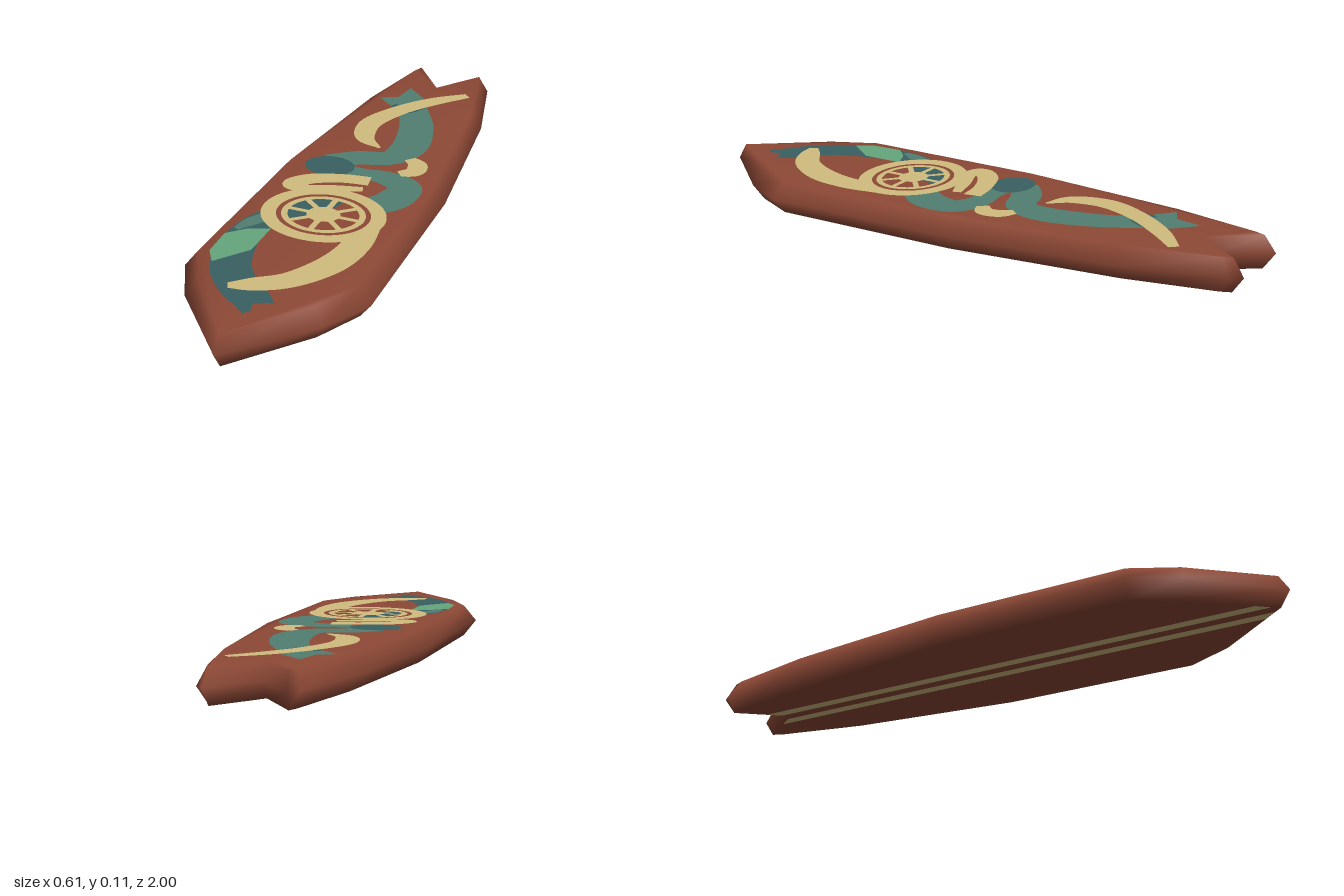
import * as THREE from 'three';

const mat = (name, color) => {
  const m = new THREE.MeshStandardMaterial({ color });
  m.name = name;
  return m;
};

const H = 0.107; // board thickness

// Half outlines (x, z) from nose to tail notch: widest rail line and flat deck edge
const RAIL = [[0, 1], [0.222, 0.75], [0.303, 0.595], [0.295, -0.07], [0.227, -0.65], [0.148, -0.965], [0.12, -1], [0, -0.84]];
const DECK = [[0, 0.967], [0.19, 0.73], [0.262, 0.58], [0.255, -0.07], [0.19, -0.64], [0.128, -0.93], [0.114, -0.963], [0, -0.81]];
const mirror = (half) => [...half, ...half.slice(1, -1).reverse().map(([x, z]) => [-x, z])];

// Closed hull: bottom edge, rail and deck edge loops plus two flat caps
function hullGeometry() {
  const loops = [[DECK, 0], [RAIL, H / 2], [DECK, H]];
  const n = mirror(RAIL).length;
  const pos = [], index = [];
  for (const [half, y] of loops) for (const [x, z] of mirror(half)) pos.push(x, y, z);
  for (let r = 0; r < 2; r++) {
    for (let i = 0; i < n; i++) {
      const j = (i + 1) % n;
      const a = r * n + i, b = r * n + j, c = b + n, d = a + n;
      index.push(a, b, c, a, c, d);
    }
  }
  const flat = mirror(DECK).map(([x, z]) => new THREE.Vector2(x, -z));
  for (const [a, b, c] of THREE.ShapeUtils.triangulateShape(flat, [])) {
    index.push(a + 2 * n, b + 2 * n, c + 2 * n, a, c, b);
  }
  const g = new THREE.BufferGeometry();
  g.setAttribute('position', new THREE.Float32BufferAttribute(pos, 3));
  g.setIndex(index);
  g.computeVertexNormals();
  return g;
}

// Flat ribbon along a curve through [x, z, width] points, facing up
function ribbonGeometry(points, steps = 40) {
  const curve = new THREE.CatmullRomCurve3(points.map((p) => new THREE.Vector3(...p)));
  const pos = [], nor = [], index = [];
  for (let i = 0; i <= steps; i++) {
    const p = curve.getPoint(i / steps), t = curve.getTangent(i / steps);
    const k = Math.max(p.z, 0.004) / 2 / Math.hypot(t.x, t.y);
    pos.push(p.x - t.y * k, 0, p.y + t.x * k, p.x + t.y * k, 0, p.y - t.x * k);
    nor.push(0, 1, 0, 0, 1, 0);
    if (i < steps) {
      const a = 2 * i;
      index.push(a, a + 1, a + 2, a + 1, a + 3, a + 2);
    }
  }
  const g = new THREE.BufferGeometry();
  g.setAttribute('position', new THREE.Float32BufferAttribute(pos, 3));
  g.setAttribute('normal', new THREE.Float32BufferAttribute(nor, 3));
  g.setIndex(index);
  return g;
}

// Flat polygon from [x, z] points, facing up
const polyGeometry = (pts) =>
  new THREE.ShapeGeometry(new THREE.Shape(pts.map(([x, z]) => new THREE.Vector2(x, -z)))).rotateX(-Math.PI / 2);

export function createModel() {
  const brick = mat('brick red', 0x8e4936);
  const cream = mat('cream', 0xd0bc7e);
  const teal = mat('teal', 0x527f72);
  const deep = mat('deep teal', 0x396063);
  const green = mat('light green', 0x65a67b);
  for (const m of [cream, teal, deep, green]) m.side = THREE.DoubleSide;

  const board = new THREE.Group();
  board.name = 'surfboard';
  const add = (name, geometry, material, layer = 0, parent = board) => {
    const mesh = new THREE.Mesh(geometry, material);
    mesh.name = name;
    mesh.position.y = layer ? H + layer * 0.0007 : 0;
    parent.add(mesh);
    return mesh;
  };

  add('hull', hullGeometry(), brick);

  // Teal ribbon on the tail half, with its forked end and dark fold
  add('tailRibbon', ribbonGeometry([[-0.06, -0.66, 0.11], [0, -0.57, 0.11], [0.05, -0.46, 0.12], [0.08, -0.3, 0.125],
    [0.05, -0.21, 0.1], [-0.05, -0.17, 0.1], [-0.13, -0.11, 0.1]]), teal, 1);
  add('tailRibbonFork', polyGeometry([[-0.1, -0.6], [-0.16, -0.65], [-0.1, -0.68], [-0.085, -0.77], [-0.01, -0.7], [0.01, -0.64]]), teal, 1);
  add('tailRibbonShade', ribbonGeometry([[-0.09, -0.61, 0.02], [-0.045, -0.58, 0.06], [0.01, -0.65, 0.05], [0.03, -0.68, 0.02]]), deep, 2);
  add('middleRibbon', ribbonGeometry([[-0.12, -0.08, 0.08], [0, -0.07, 0.07], [0.09, -0.07, 0.09], [0.17, -0.03, 0.11],
    [0.165, 0.06, 0.125], [0.11, 0.14, 0.11]]), teal, 1);
  const fold = new THREE.CircleGeometry(1, 28).rotateX(-Math.PI / 2).scale(0.085, 1, 0.068);
  add('ribbonFold', fold.translate(-0.115, 0, -0.08), deep, 2);

  // Dark ribbon on the nose half, with a light green band and forked end
  add('noseRibbon', ribbonGeometry([[-0.12, 0.25, 0.09], [-0.17, 0.36, 0.1], [-0.17, 0.5, 0.12], [-0.13, 0.63, 0.125],
    [-0.06, 0.72, 0.12], [-0.01, 0.765, 0.11]]), deep, 1);
  add('noseRibbonFork', polyGeometry([[-0.06, 0.79], [0.015, 0.85], [0.03, 0.825], [0.02, 0.79], [0.075, 0.765], [0.02, 0.7]]), deep, 1);
  add('noseRibbonBand', polyGeometry([[-0.235, 0.46], [-0.185, 0.41], [-0.115, 0.38], [-0.115, 0.52], [-0.195, 0.625], [-0.23, 0.57]]), green, 2);
  add('noseRibbonEdge', ribbonGeometry([[-0.15, 0.3, 0.05], [-0.19, 0.36, 0.05], [-0.215, 0.42, 0.02]]), teal, 2);

  // Cream horns and curls
  add('tailHorn', ribbonGeometry([[0.13, -0.78, 0.035], [0.035, -0.69, 0.06], [-0.055, -0.57, 0.07], [-0.11, -0.43, 0.08],
    [-0.085, -0.32, 0.065], [-0.01, -0.265, 0.01]]), cream, 3);
  add('sideCurl', ribbonGeometry([[0.115, -0.225, 0.04], [0.155, -0.19, 0.065], [0.16, -0.145, 0.065], [0.12, -0.11, 0.04]]), cream, 3);
  add('middleCurl', ribbonGeometry([[0.05, -0.025, 0.06], [-0.04, -0.01, 0.06], [-0.14, 0.035, 0.07], [-0.175, 0.085, 0.07],
    [-0.13, 0.1, 0.055], [-0.04, 0.065, 0.045], [0.05, 0.035, 0.03]]), cream, 3);
  add('noseHorn', ribbonGeometry([[0.15, 0.24, 0.09], [0.165, 0.38, 0.095], [0.14, 0.51, 0.1], [0.06, 0.64, 0.085],
    [-0.03, 0.7, 0.07], [-0.09, 0.73, 0.03]]), cream, 3);

  // Wheel emblem: brick face, dark half, rings, hub and spokes
  const wheel = new THREE.Group();
  wheel.name = 'wheelEmblem';
  wheel.position.set(0, 0, 0.24);
  wheel.scale.z = 0.85;
  board.add(wheel);
  const flat = (g) => g.rotateX(-Math.PI / 2);
  add('wheelFace', flat(new THREE.CircleGeometry(0.18, 40)), brick, 4, wheel);
  add('wheelDarkHalf', flat(new THREE.CircleGeometry(0.13, 24, Math.PI * 0.42, Math.PI * 0.85)), deep, 5, wheel);
  add('wheelOuterRing', flat(new THREE.RingGeometry(0.152, 0.202, 48)), cream, 6, wheel);
  add('wheelInnerRing', flat(new THREE.RingGeometry(0.115, 0.136, 40)), cream, 6, wheel);
  add('wheelHub', flat(new THREE.CircleGeometry(0.055, 24)), cream, 6, wheel);
  for (let i = 0; i < 8; i++) {
    const spoke = flat(new THREE.PlaneGeometry(0.075, 0.02)).translate(0.085, 0, 0);
    add('wheelSpoke', spoke.rotateY((i * Math.PI) / 4), cream, 6, wheel);
  }

  // Twin stripes under the board, trimmed to the nose and notch
  for (const s of [-1, 1]) {
    const stripe = polyGeometry([[s * 0.017, 0.943], [s * 0.049, 0.902], [s * 0.049, -0.872], [s * 0.017, -0.83]]);
    if (s > 0) stripe.scale(1, 1, 1);
    stripe.rotateZ(Math.PI).translate(0, -0.0008, 0);
    add('undersideStripe', stripe, cream);
  }
  return board;
}
